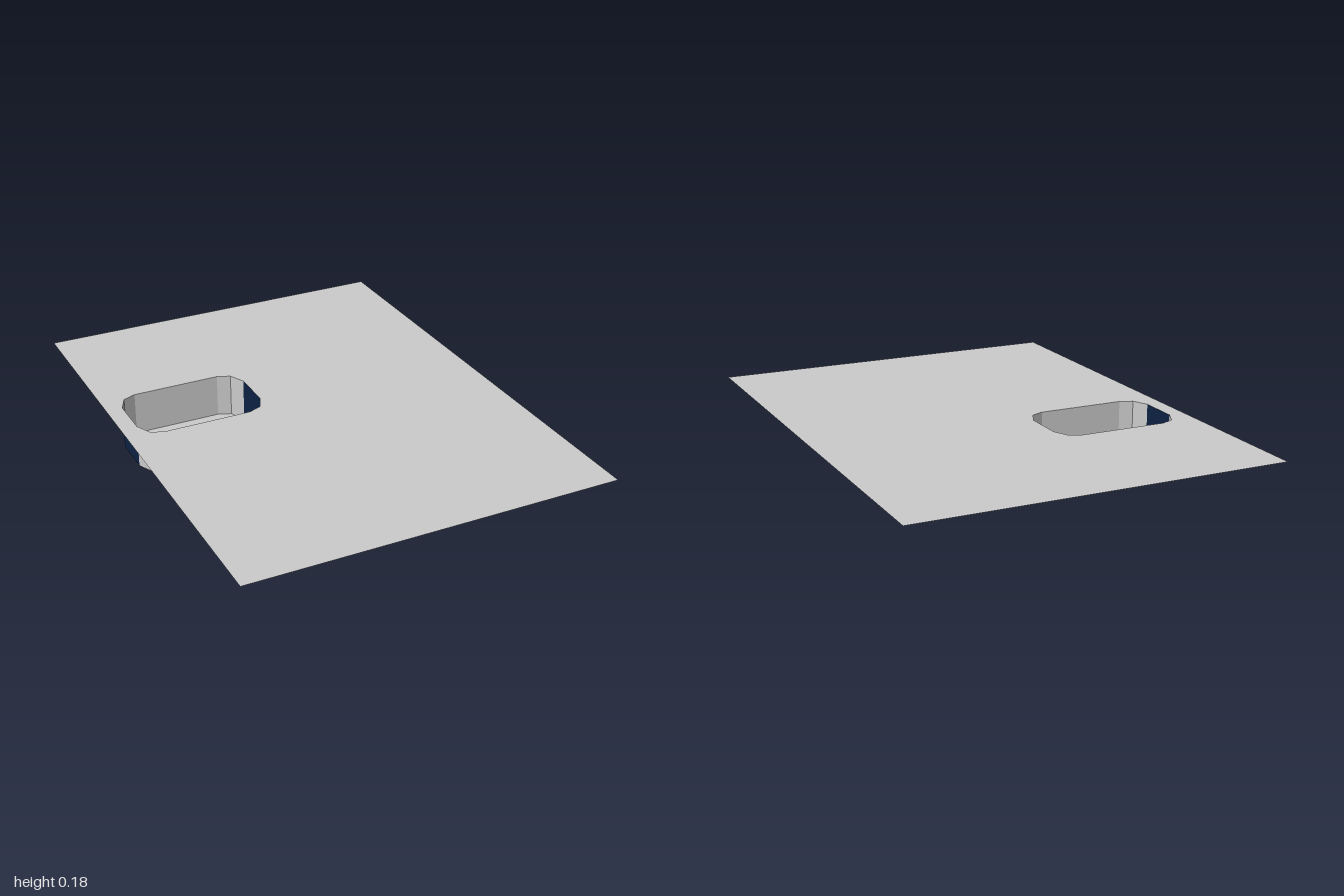
import * as THREE from 'three';

const TOP = 0.177;

export function createModel() {
  const model = new THREE.Group();
  const grey = new THREE.MeshStandardMaterial({ color: 0xcccccc, side: THREE.DoubleSide });
  grey.name = 'light grey';
  const navy = new THREE.MeshStandardMaterial({ color: 0x0d2344, side: THREE.DoubleSide });
  navy.name = 'navy blue';

  const add = (name, geometry, material, y = 0) => {
    const mesh = new THREE.Mesh(geometry, material);
    mesh.name = name;
    mesh.position.y = y;
    model.add(mesh);
  };

  // Basin outline: one corner mirrored into all four, in order round the rim (shape y = -z)
  const corner = [[0.262, 0.083], [0.232, 0.147], [0.18, 0.168]];
  const rim = [];
  for (const [sx, sy] of [[1, 1], [-1, 1], [-1, -1], [1, -1]]) {
    const pts = sx * sy > 0 ? corner : [...corner].reverse();
    for (const [x, y] of pts) rim.push(new THREE.Vector2(-0.421 + sx * x, 0.231 + sy * y));
  }

  // Flat sheet with the basin opening
  const sheet = new THREE.Shape([[-0.75, -1], [0.75, -1], [0.75, 1], [-0.75, 1]]
    .map(([x, y]) => new THREE.Vector2(x, y)));
  sheet.holes.push(new THREE.Path(rim));
  add('sheet', new THREE.ShapeGeometry(sheet).rotateX(-Math.PI / 2), grey, TOP);

  // Basin floor
  add('basinFloor', new THREE.ShapeGeometry(new THREE.Shape(rim)).rotateX(-Math.PI / 2), grey);

  // Faceted basin walls, with the two flat end walls kept apart for their colour
  const sides = [], ends = [];
  rim.forEach((a, i) => {
    const b = rim[(i + 1) % rim.length];
    const target = Math.abs(a.x - b.x) < 1e-6 ? ends : sides;
    target.push(
      a.x, 0, -a.y, b.x, 0, -b.y, b.x, TOP, -b.y,
      a.x, 0, -a.y, b.x, TOP, -b.y, a.x, TOP, -a.y);
  });
  const wall = (positions) => {
    const geometry = new THREE.BufferGeometry();
    geometry.setAttribute('position', new THREE.Float32BufferAttribute(positions, 3));
    geometry.computeVertexNormals();
    return geometry;
  };
  add('basinSideWalls', wall(sides), grey);
  add('basinEndWalls', wall(ends), navy);

  return model;
}
